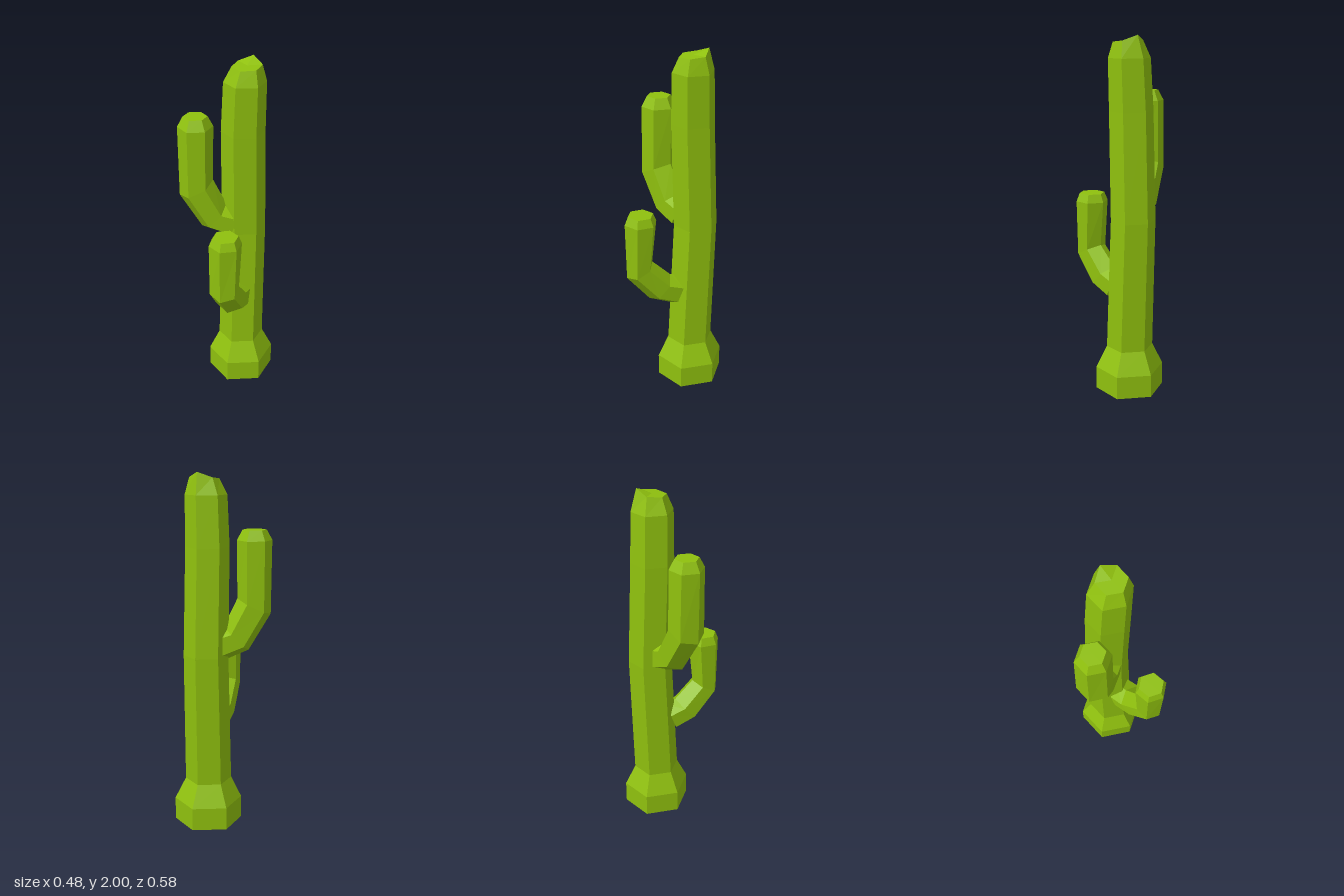
import * as THREE from 'three';

const SIDES = 6;

// Faceted tube through hexagonal rings, closed at both ends.
// dir: horizontal heading [x, z]; one corner of every ring points along it.
// ring: [x, y, z, radius, tilt in degrees (lowers the leading corner), lift of the rear corner]
function hexTube(name, dir, rings, material) {
  const len = Math.hypot(dir[0], dir[1]);
  const dx = dir[0] / len, dz = dir[1] / len;
  const side = new THREE.Vector3(dz, 0, -dx);
  const centres = rings.map(([x, y, z]) => new THREE.Vector3(x, y, z));
  const corners = rings.map(([, , , r, tilt = 0, lift = 0], i) => {
    const t = THREE.MathUtils.degToRad(tilt);
    const lead = new THREE.Vector3(dx * Math.cos(t), -Math.sin(t), dz * Math.cos(t));
    return Array.from({ length: SIDES }, (_, k) => {
      const a = (k / SIDES) * Math.PI * 2;
      const p = centres[i].clone()
        .addScaledVector(lead, r * Math.cos(a))
        .addScaledVector(side, r * Math.sin(a));
      if (k === SIDES / 2) p.y += lift;
      return p;
    });
  });

  const points = [];
  const last = rings.length - 1;
  for (let k = 0; k < SIDES; k++) {
    const n = (k + 1) % SIDES;
    for (let i = 0; i < last; i++) {
      const a = corners[i][k], b = corners[i][n];
      const c = corners[i + 1][n], d = corners[i + 1][k];
      points.push(a, b, c, a, c, d);
    }
    points.push(centres[0], corners[0][n], corners[0][k]);
    points.push(centres[last], corners[last][k], corners[last][n]);
  }
  const geometry = new THREE.BufferGeometry().setFromPoints(points);
  geometry.computeVertexNormals();
  const mesh = new THREE.Mesh(geometry, material);
  mesh.name = name;
  return mesh;
}

export function createModel() {
  const group = new THREE.Group();
  group.name = 'cactus';
  const green = new THREE.MeshStandardMaterial({ color: 0x8fc00e, flatShading: true });

  // Trunk with a flared foot, a slight bend and a pointed crown
  group.add(hexTube('trunk', [0, 1], [
    [0.072, 0, -0.098, 0.193],
    [0.072, 0.13, -0.098, 0.193],
    [0.07, 0.255, -0.098, 0.132],
    [0.067, 1.0, -0.125, 0.125],
    [0.065, 1.6, -0.105, 0.121],
    [0.074, 1.88, -0.1, 0.115],
    [0.084, 1.968, -0.1, 0.081, 5, 0.025],
  ], green));

  // Upper arm, on the model's right
  group.add(hexTube('upperArm', [-0.866, 0.5], [
    [0.025, 1.05, -0.075, 0.097, 65],
    [-0.07, 1.09, -0.02, 0.098, 45],
    [-0.155, 1.27, 0.03, 0.103, 25],
    [-0.155, 1.635, 0.03, 0.097],
    [-0.155, 1.692, 0.03, 0.067],
  ], green));

  // Lower arm, on the front
  group.add(hexTube('lowerArm', [0.12, 0.99], [
    [0.08, 0.59, -0.01, 0.09, 68],
    [0.092, 0.63, 0.09, 0.092, 46],
    [0.108, 0.765, 0.21, 0.085, 27],
    [0.109, 1.06, 0.2, 0.092],
    [0.109, 1.107, 0.2, 0.073],
  ], green));

  return group;
}
